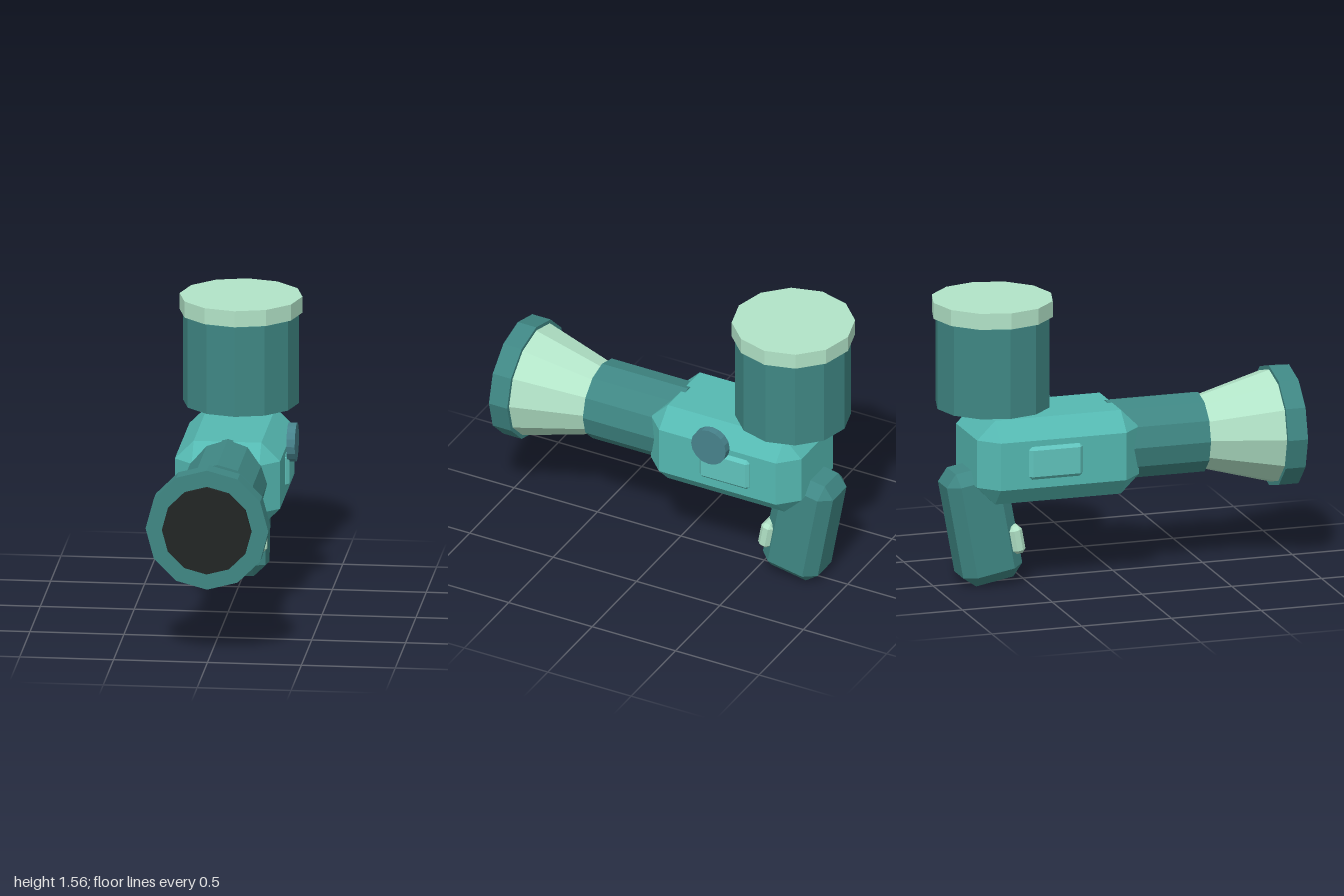
import * as THREE from 'three';
import { ConvexGeometry } from 'three/addons/geometries/ConvexGeometry.js';

const material = (color) => new THREE.MeshStandardMaterial({ color, flatShading: true });

// Box with every edge cut off at distance c
function chamferBox(w, h, d, c) {
  const half = [w / 2, h / 2, d / 2];
  const points = [];
  for (const sx of [-1, 1]) for (const sy of [-1, 1]) for (const sz of [-1, 1]) {
    for (let axis = 0; axis < 3; axis++) {
      const p = half.map((v, i) => (i === axis ? v : v - c));
      points.push(new THREE.Vector3(sx * p[0], sy * p[1], sz * p[2]));
    }
  }
  return new ConvexGeometry(points);
}

export function createModel() {
  const model = new THREE.Group();
  const dark = material(0x3f8784);
  const teal = material(0x55b9b2);
  const panel = material(0x60c4bd);
  const mint = material(0xb2e4c8);
  const black = material(0x222625);
  const blue = material(0x47838c);
  const cx = -0.005;

  function add(name, geometry, mat, x, y, z) {
    const mesh = new THREE.Mesh(geometry, mat);
    mesh.name = name;
    mesh.position.set(x, y, z);
    model.add(mesh);
    return mesh;
  }

  // Twelve-sided sections along the barrel axis, from z0 (back) to z1 (front)
  function barrelPart(name, rBack, rFront, z0, z1, mat) {
    const g = new THREE.CylinderGeometry(rFront, rBack, z1 - z0, 12).rotateX(Math.PI / 2);
    add(name, g, mat, cx, 0.725, (z0 + z1) / 2);
  }
  barrelPart('barrel', 0.218, 0.218, -0.04, 0.475, dark);
  barrelPart('flaredNozzle', 0.195, 0.308, 0.47, 0.875, mint);
  barrelPart('muzzleRing', 0.327, 0.327, 0.87, 0.98, dark);
  barrelPart('muzzleOpening', 0.238, 0.238, 0.9, 1.0, black);

  // Body with a raised panel on each side
  add('body', chamferBox(0.56, 0.46, 0.9, 0.1), teal, cx, 0.705, -0.365);
  for (const side of [-1, 1]) {
    add('sidePanel', chamferBox(0.06, 0.18, 0.3, 0.018), panel, cx + side * 0.27, 0.713, -0.41);
  }

  // Round knob on the left side
  add('knob', new THREE.CylinderGeometry(0.104, 0.104, 0.045, 16).rotateZ(Math.PI / 2),
    blue, 0.306, 0.853, -0.34);

  // Upright tank and lid
  add('tank', new THREE.CylinderGeometry(0.308, 0.308, 0.49, 12), dark, cx, 1.22, -0.67);
  add('tankLid', new THREE.CylinderGeometry(0.327, 0.327, 0.088, 12), mint, cx, 1.516, -0.672);
  add('lidPin', new THREE.BoxGeometry(0.04, 0.04, 0.03), dark, cx, 1.468, -0.61);

  // Raked grip and trigger
  const grip = add('grip', chamferBox(0.276, 0.635, 0.334, 0.062), dark, cx, 0.335, -0.74);
  const trigger = add('trigger', chamferBox(0.3, 0.152, 0.07, 0.02), mint, cx, 0.255, -0.574);
  grip.rotation.x = trigger.rotation.x = -0.18;

  return model;
}
